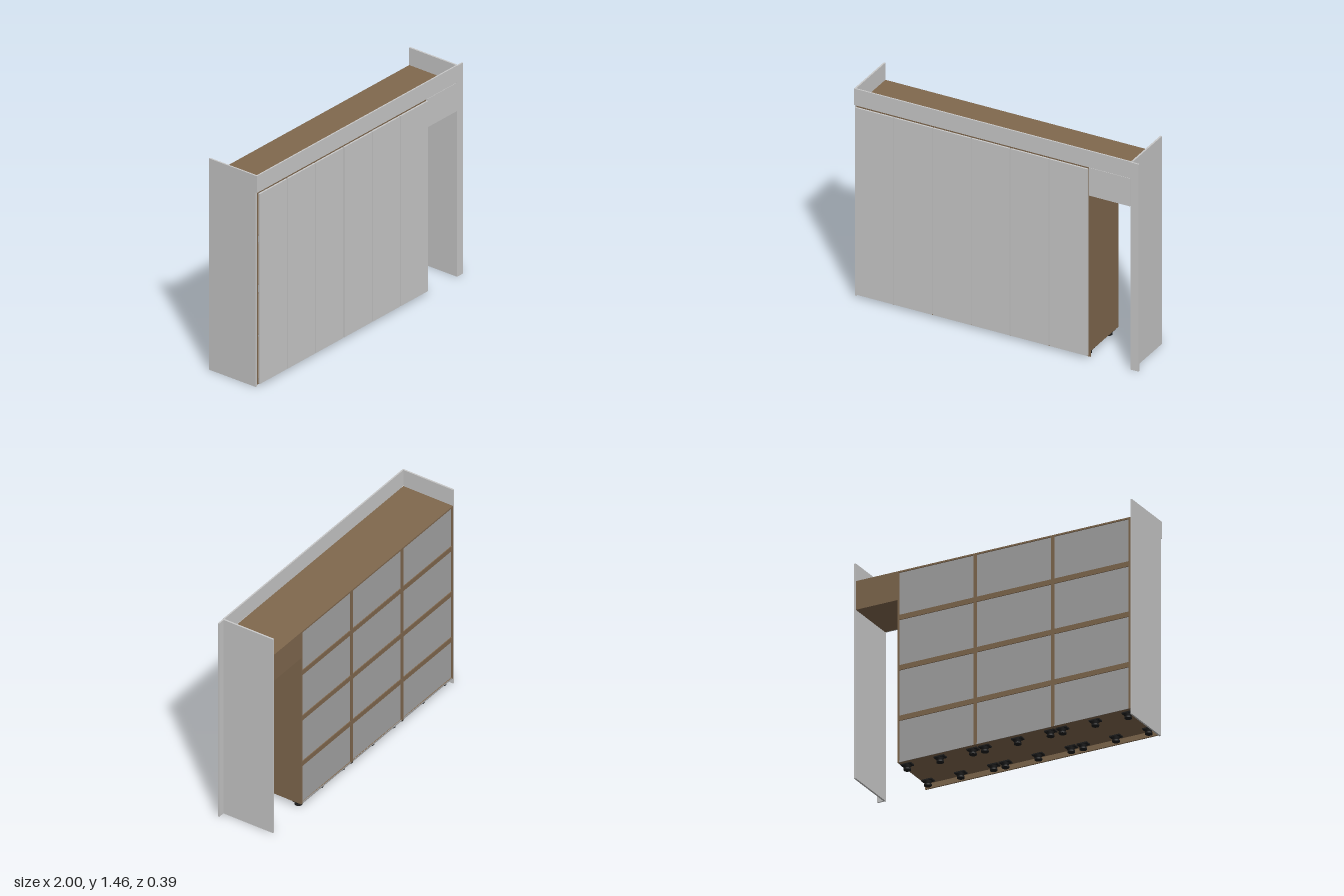
import * as THREE from 'three';

const mat = (name, color) => {
  const m = new THREE.MeshStandardMaterial({ color });
  m.name = name;
  return m;
};

export function createModel() {
  const white = mat('light grey lacquer', 0xc8c8c8);
  const backing = mat('grey backing board', 0xa4a4a4);
  const wood = mat('brown board', 0x80684e);
  const black = mat('black plastic', 0x1c1c1c);

  const model = new THREE.Group();
  model.name = 'wardrobe';

  // Box given by its limits on each axis
  const board = (name, material, [x0, x1], [y0, y1], [z0, z1], parent = model) => {
    const mesh = new THREE.Mesh(new THREE.BoxGeometry(x1 - x0, y1 - y0, z1 - z0), material);
    mesh.position.set((x0 + x1) / 2, (y0 + y1) / 2, (z0 + z1) / 2);
    mesh.name = name;
    parent.add(mesh);
    return mesh;
  };

  const T = 0.011;                    // board thickness
  const BACK = -0.197, FRONT = 0.175; // carcass depth
  const BASE = 0.04, TOP = 1.34;
  const X0 = -0.989, X1 = 0.65, END = 0.943;
  const W = (X1 - X0) / 3;
  const depth = [BACK, FRONT];

  // Adjustable foot: mounting plate, stem and round pad
  const addFoot = (x, z, parent) => {
    const foot = new THREE.Group();
    foot.name = 'foot';
    board('footPlate', black, [-0.036, 0.036], [0.031, BASE], [-0.022, 0.022], foot);
    const stem = new THREE.Mesh(new THREE.CylinderGeometry(0.024, 0.017, 0.021, 16), black);
    stem.position.y = 0.0205;
    stem.name = 'footStem';
    const pad = new THREE.Mesh(new THREE.CylinderGeometry(0.024, 0.024, 0.01, 16), black);
    pad.position.y = 0.005;
    pad.name = 'footPad';
    foot.add(stem, pad);
    foot.position.set(x, 0, z);
    parent.add(foot);
  };

  // Three tall cabinets, each with two doors
  for (let i = 0; i < 3; i++) {
    const a = X0 + i * W, b = a + W;
    const cabinet = new THREE.Group();
    cabinet.name = 'cabinet' + (i + 1);
    model.add(cabinet);

    board('cabinetSide', wood, [a, a + T], [BASE, TOP], depth, cabinet);
    board('cabinetSide', wood, [b - T, b], [BASE, TOP], depth, cabinet);
    board('cabinetTop', wood, [a + T, b - T], [TOP - T, TOP], depth, cabinet);
    board('cabinetBottom', wood, [a + T, b - T], [BASE, BASE + T], depth, cabinet);
    board('backPanel', backing, [a + T, b - T], [BASE + T, TOP - T], [BACK + 0.006, BACK + 0.012], cabinet);
    // thin cover of the backing over the top and bottom board edges
    board('backEdge', backing, [a + T, b - T], [BASE, BASE + T], [BACK - 0.0005, BACK + 0.003], cabinet);

    // Back rails with shelves resting on them
    for (const y of [0.34, 0.683, 1.025]) {
      board('backRail', wood, [a + T, b - T], [y - 0.017, y + 0.017], [BACK, BACK + 0.012], cabinet);
      board('shelf', wood, [a + T, b - T], [y - T / 2, y + T / 2], [BACK + 0.012, FRONT - 0.02], cabinet);
    }

    // Doors
    for (let d = 0; d < 2; d++) {
      const x = a + d * W / 2;
      board('door', white, [x + 0.003, x + W / 2 - 0.003], [0.022, 1.335], [0.185, 0.197], cabinet);
    }

    for (const x of [a + 0.042, (a + b) / 2, b - 0.042])
      for (const z of [-0.147, 0.115]) addFoot(x, z, cabinet);
  }

  // Plinth below the doors
  board('plinth', wood, [X0, X1], [0.002, 0.036], [0.155, 0.165]);

  // Overhead cabinet above the open bay
  const overhead = new THREE.Group();
  overhead.name = 'overheadCabinet';
  model.add(overhead);
  board('overheadTop', wood, [X1, END], [TOP - T, TOP], depth, overhead);
  board('overheadBottom', wood, [X1, END], [1.145, 1.145 + T], depth, overhead);
  board('overheadSide', wood, [X1, X1 + T], [1.145 + T, TOP - T], depth, overhead);
  board('overheadSide', wood, [END - T, END], [1.145 + T, TOP - T], depth, overhead);
  board('overheadBack', wood, [X1 + T, END - T], [1.145 + T, TOP - T], [BACK, BACK + 0.006], overhead);
  board('overheadFront', white, [X1 + 0.003, END - 0.003], [1.146, 1.342], [FRONT, 0.185], overhead);

  // Outer side panels, fascia and wall filler strip
  board('rightSidePanel', white, [-1, X0], [0, 1.46], depth);
  board('leftSidePanel', white, [END, END + 0.012], [0, 1.46], depth);
  board('fascia', white, [-1, END], [1.344, 1.46], [FRONT, 0.185]);
  board('fillerStrip', white, [END, 1], [0, 1.457], [FRONT, 0.185]);

  return model;
}
